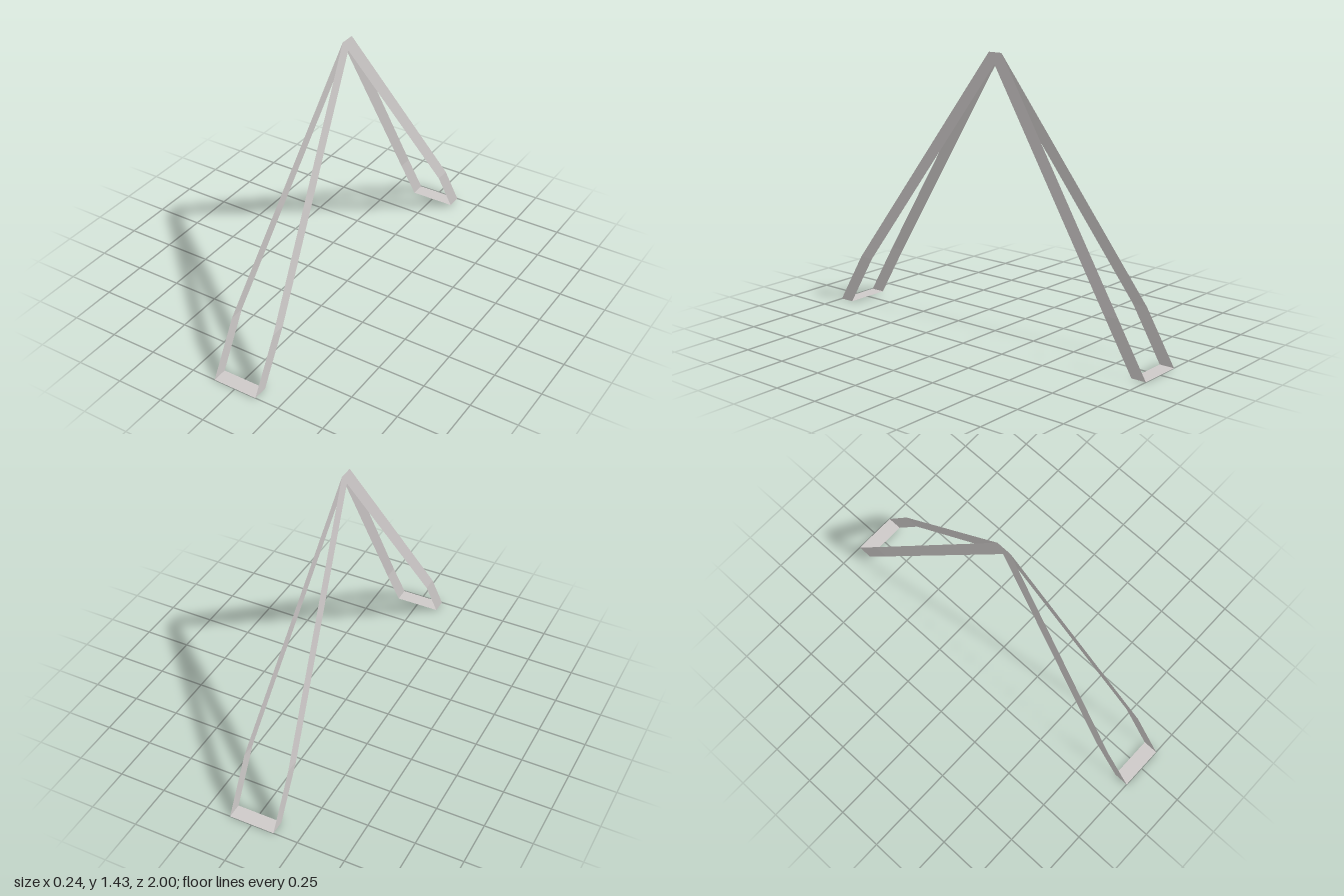
import * as THREE from 'three';

const warmGrey = new THREE.MeshStandardMaterial({ color: 0xcdc9c8, side: THREE.DoubleSide });
warmGrey.name = 'warmGrey';

const HALF_BAND = 0.04; // half the band width, measured along z

// Flat band through [x, y, z] centre points, its width running along z
function band(points) {
  const positions = [];
  const index = [];
  points.forEach(([x, y, z], i) => {
    positions.push(x, y, z + HALF_BAND, x, y, z - HALF_BAND);
    if (i > 0) {
      const a = 2 * i - 2;
      index.push(a, a + 1, a + 3, a, a + 3, a + 2);
    }
  });
  const indexed = new THREE.BufferGeometry();
  indexed.setAttribute('position', new THREE.Float32BufferAttribute(positions, 3));
  indexed.setIndex(index);
  const geometry = indexed.toNonIndexed(); // separate faces keep the bends sharp
  geometry.computeVertexNormals();
  return geometry;
}

function addBand(parent, name, points) {
  const mesh = new THREE.Mesh(band(points), warmGrey);
  mesh.name = name;
  parent.add(mesh);
}

export function createModel() {
  const model = new THREE.Group();
  model.name = 'bandLegFrame';

  for (const [end, dir] of [['front', 1], ['back', -1]]) {
    const leg = new THREE.Group();
    leg.name = end + 'Leg';

    // Two side bands spread from the apex, then drop straight to the foot
    for (const [side, s] of [['Left', 1], ['Right', -1]]) {
      const path = [[0, 1.43, 0], [s * 0.12, 0.27, dir * 0.8], [s * 0.12, 0, dir * 0.96]];
      if (s < 0) path.reverse(); // keeps the faces turned outward
      addBand(leg, end + side + 'Band', path);
    }

    // Flat foot joining the two side bands
    addBand(leg, end + 'Foot', [[-0.12, 0, dir * 0.96], [0.12, 0, dir * 0.96]]);
    model.add(leg);
  }
  return model;
}
